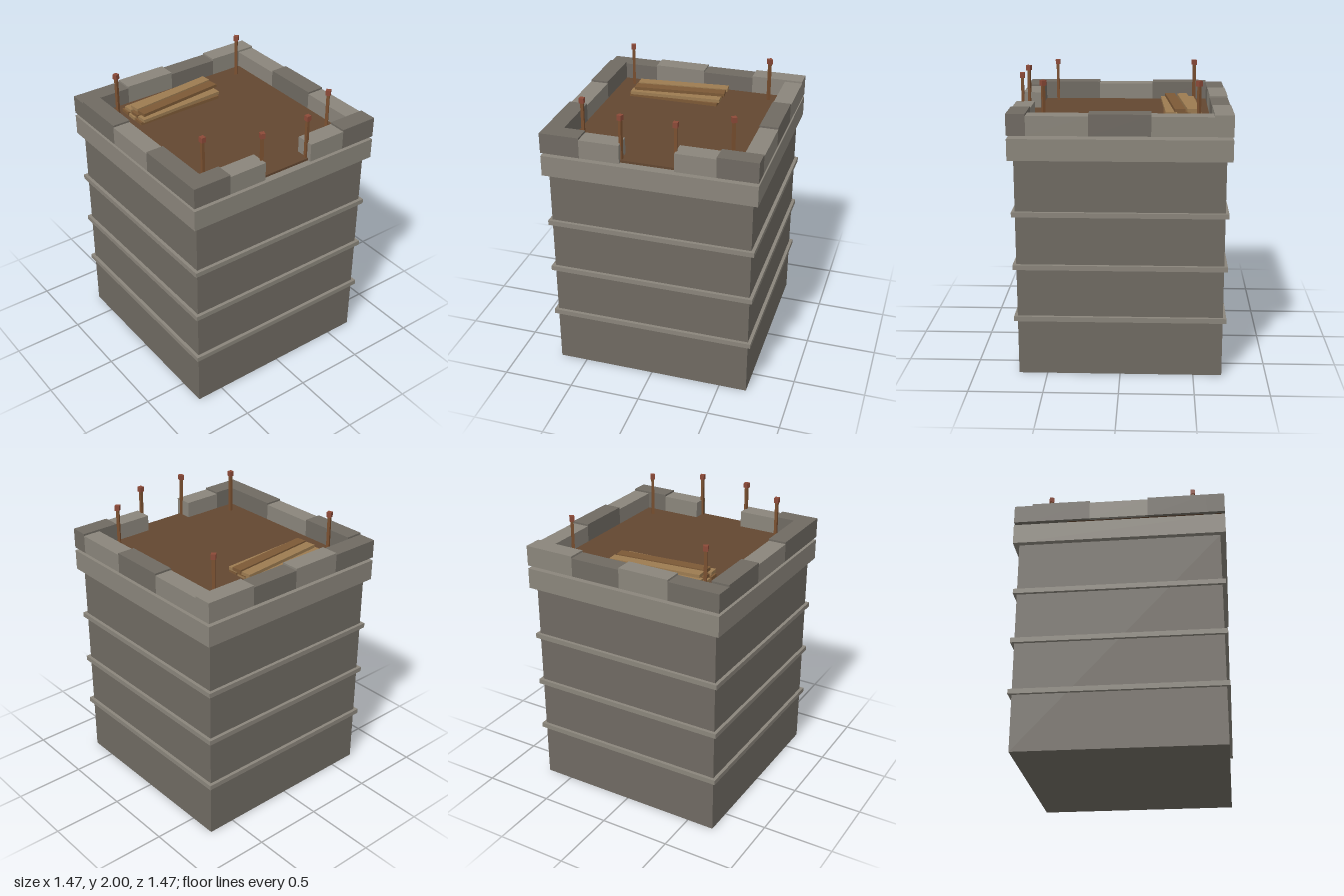
import * as THREE from 'three';

const material = (color) => new THREE.MeshStandardMaterial({ color, flatShading: true });
const darkStone = material(0x6f6a62);
const lightStone = material(0x8a857b);
const floorWood = material(0x634731);
const paleWood = material(0x9c7b51);
const brownWood = material(0x7c5936);
const postWood = material(0x7a5030);
const redCap = material(0x8c4a38);

export function createModel() {
  const model = new THREE.Group();
  model.name = 'squareTower';

  // Box centred on x, z and spanning y0 to y1
  function block(name, mat, w, d, y0, y1, x = 0, z = 0, turn = 0, parent = model) {
    const mesh = new THREE.Mesh(new THREE.BoxGeometry(w, y1 - y0, d), mat);
    mesh.name = name;
    mesh.position.set(x, (y0 + y1) / 2, z);
    mesh.rotation.y = turn;
    parent.add(mesh);
    return mesh;
  }

  // Tower shaft, string courses and collar
  block('shaft', darkStone, 1.39, 1.39, 0, 1.51);
  [0.405, 0.772, 1.139].forEach((y) =>
    block('stringCourse', lightStone, 1.436, 1.436, y - 0.017, y + 0.017));
  block('collar', lightStone, 1.466, 1.466, 1.508, 1.652);

  // Platform floor, slightly raised above the collar
  block('floor', floorWood, 1.42, 1.42, 1.674, 1.69);

  // Parapet: blocks alternating in tone and height
  const parapet = new THREE.Group();
  parapet.name = 'parapet';
  model.add(parapet);
  const outer = 0.733, inner = 0.607, mid = (outer + inner) / 2, thick = outer - inner;
  const base = 1.674, low = 1.803, tall = 1.816;
  const step = outer / 2;
  for (let i = 0; i < 4; i++) {
    block('backParapetBlock', i % 2 ? lightStone : darkStone, step, thick,
      base, i % 2 ? tall : low, -outer + step * (i + 0.5), -mid, 0, parapet);
  }
  const sideLength = inner * 2 / 3;
  for (const side of [-1, 1]) {
    for (let i = 0; i < 3; i++) {
      const dark = (i % 2 === 0) === (side < 0);
      block('sideParapetBlock', dark ? darkStone : lightStone, thick, sideLength,
        base, dark ? tall : low, side * mid, (i - 1) * sideLength, 0, parapet);
    }
    // Front blocks either side of the opening
    block('frontCornerBlock', darkStone, 0.273, thick, base, tall, side * 0.5965, mid, 0, parapet);
    block('frontOpeningBlock', lightStone, 0.275, thick, base, low, side * 0.3225, mid, 0, parapet);
  }

  // Posts with red caps: x, z, turn
  const posts = [
    [-0.513, -0.513, 0.35], [0.51, -0.513, 0.7], [-0.513, 0.51, 0.03],
    [0.51, 0.51, 0.65], [-0.185, 0.688, -0.3], [0.182, 0.688, 0.05],
  ];
  for (const [x, z, turn] of posts) {
    const post = new THREE.Group();
    post.name = 'post';
    post.position.set(x, 0, z);
    post.rotation.y = turn;
    model.add(post);
    block('postShaft', postWood, 0.02, 0.02, 1.68, 1.97, 0, 0, 0, post);
    block('postCap', redCap, 0.032, 0.032, 1.964, 2, 0, 0, 0, post);
  }

  // Loose planks in three layers, each layer turned a little more
  const layers = [
    { x: -0.142, turn: 0, z: [-0.493, -0.405, -0.319], mats: [brownWood, paleWood, brownWood] },
    { x: -0.13, turn: 0.05, z: [-0.49, -0.403, -0.317], mats: [paleWood, brownWood, paleWood] },
    { x: -0.11, turn: 0.096, z: [-0.452, -0.364], mats: [paleWood, brownWood] },
  ];
  const stack = new THREE.Group();
  stack.name = 'plankStack';
  model.add(stack);
  layers.forEach(({ x, turn, z, mats }, layer) => {
    const y = 1.69 + layer * 0.024;
    z.forEach((pz, i) =>
      block('plank', mats[i], 0.655, 0.072, y, y + 0.022, x, pz, turn, stack));
  });

  return model;
}
